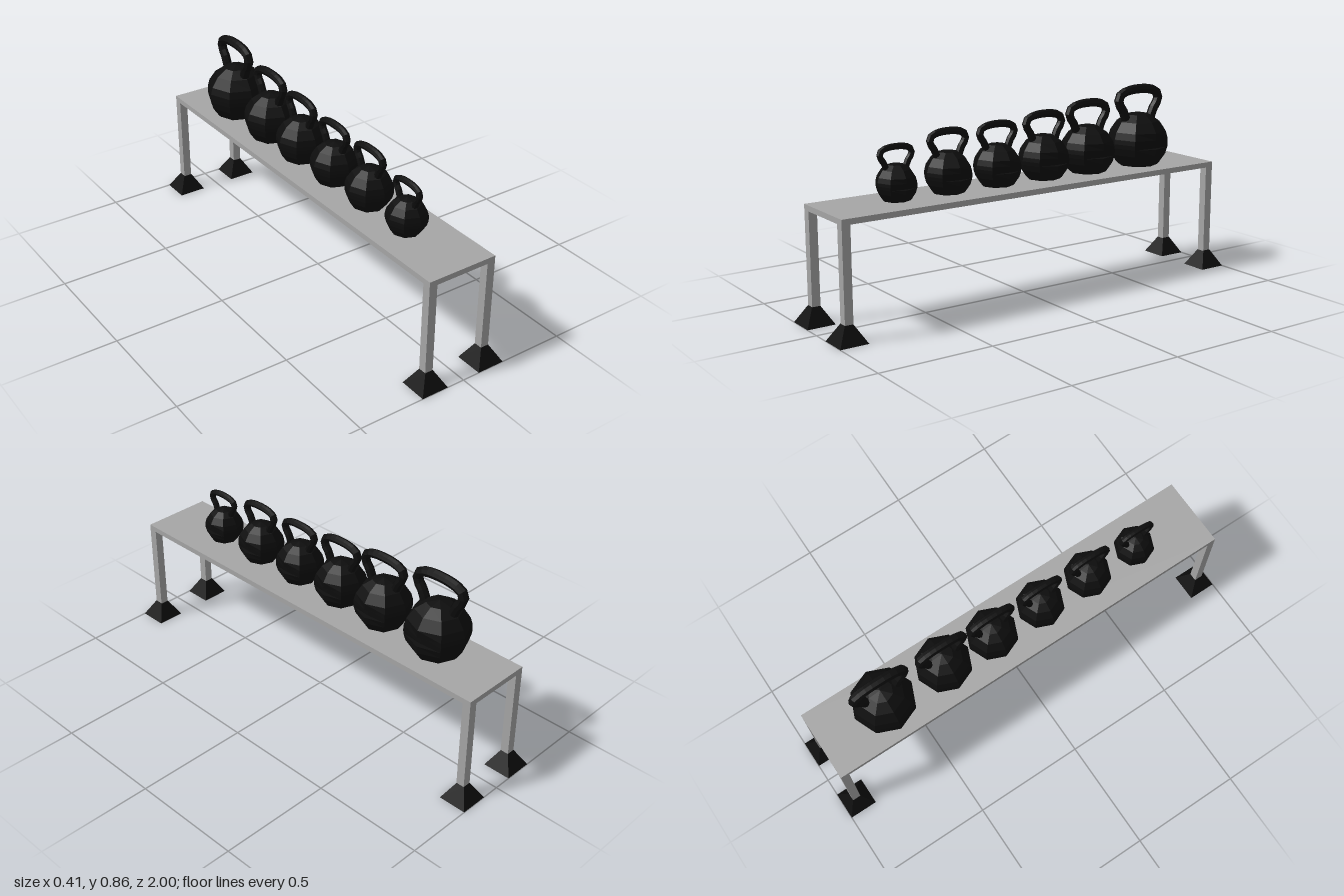
import * as THREE from 'three';

const steel = new THREE.MeshStandardMaterial({ color: 0xa6a6a6 });
steel.name = 'grey steel';
const iron = new THREE.MeshStandardMaterial({ color: 0x0d0d0d });
iron.name = 'black iron';

const TOP = 0.497;        // height of the bench top
const FLAT = 0.76;        // depth of the flat base below the bell centre, in radii

function mesh(name, geometry, material, x, y, z) {
  const m = new THREE.Mesh(geometry, material);
  m.name = name;
  m.position.set(x, y, z);
  return m;
}

function faceted(geometry) {
  const g = geometry.toNonIndexed();
  g.computeVertexNormals();
  return g;
}

// Eight-sided ball of radius 1 with a flat base and a small notch at +x
function bellBody() {
  const profile = [new THREE.Vector2(0, -FLAT), new THREE.Vector2(0.65, -FLAT)];
  for (const deg of [-45, -22.5, -9, -8, 0, 8, 9, 22.5, 45, 67.5, 90]) {
    const a = THREE.MathUtils.degToRad(deg);
    profile.push(new THREE.Vector2(Math.max(0, Math.cos(a)), Math.sin(a)));
  }
  const g = new THREE.LatheGeometry(profile, 8);
  const p = g.attributes.position;
  for (let i = 0; i < p.count; i++) {
    const y = Math.abs(p.getY(i));
    if (p.getX(i) > 0.8 && y < 0.2) p.setX(i, y > 0.148 ? 0.93 : 0.77);
  }
  return faceted(g);
}

// Looped grip that flares out above the ball
function bellHandle() {
  const half = [[0.5, 0.7], [0.64, 1.05], [0.84, 1.36], [0.77, 1.6], [0.42, 1.73]];
  const points = [
    ...half.map(([z, y]) => new THREE.Vector3(0, y, z)),
    new THREE.Vector3(0, 1.76, 0),
    ...half.slice().reverse().map(([z, y]) => new THREE.Vector3(0, y, -z)),
  ];
  return faceted(new THREE.TubeGeometry(new THREE.CatmullRomCurve3(points), 18, 0.155, 8));
}

export function createModel() {
  const model = new THREE.Group();
  model.name = 'kettlebellBench';

  // Bench top
  model.add(mesh('benchTop', new THREE.BoxGeometry(0.32, 0.024, 1.91), steel, 0, TOP - 0.012, 0));

  // Legs and flared feet
  const legGeo = new THREE.BoxGeometry(0.037, 0.4, 0.037);
  const footGeo = new THREE.CylinderGeometry(0.0185 * Math.SQRT2, 0.0625 * Math.SQRT2, 0.076, 4);
  footGeo.rotateY(Math.PI / 4);
  const flatFoot = faceted(footGeo);
  for (const sx of [-1, 1]) {
    for (const sz of [-1, 1]) {
      model.add(mesh('leg', legGeo, steel, sx * 0.1415, 0.274, sz * 0.9365));
      model.add(mesh('foot', flatFoot, iron, sx * 0.1415, 0.038, sz * 0.9375));
    }
  }

  // Row of kettlebells: [z, radius]
  const bodyGeo = bellBody();
  const handleGeo = bellHandle();
  const bells = [[0.62, 0.087], [0.375, 0.102], [0.131, 0.104], [-0.113, 0.112], [-0.354, 0.122], [-0.645, 0.137]];
  for (const [z, r] of bells) {
    const bell = new THREE.Group();
    bell.name = 'kettlebell';
    bell.add(mesh('bellBody', bodyGeo, iron, 0, 0, 0));
    bell.add(mesh('bellHandle', handleGeo, iron, 0, 0, 0));
    bell.scale.setScalar(r);
    bell.position.set(-0.008, TOP + FLAT * r, z);
    model.add(bell);
  }
  return model;
}
